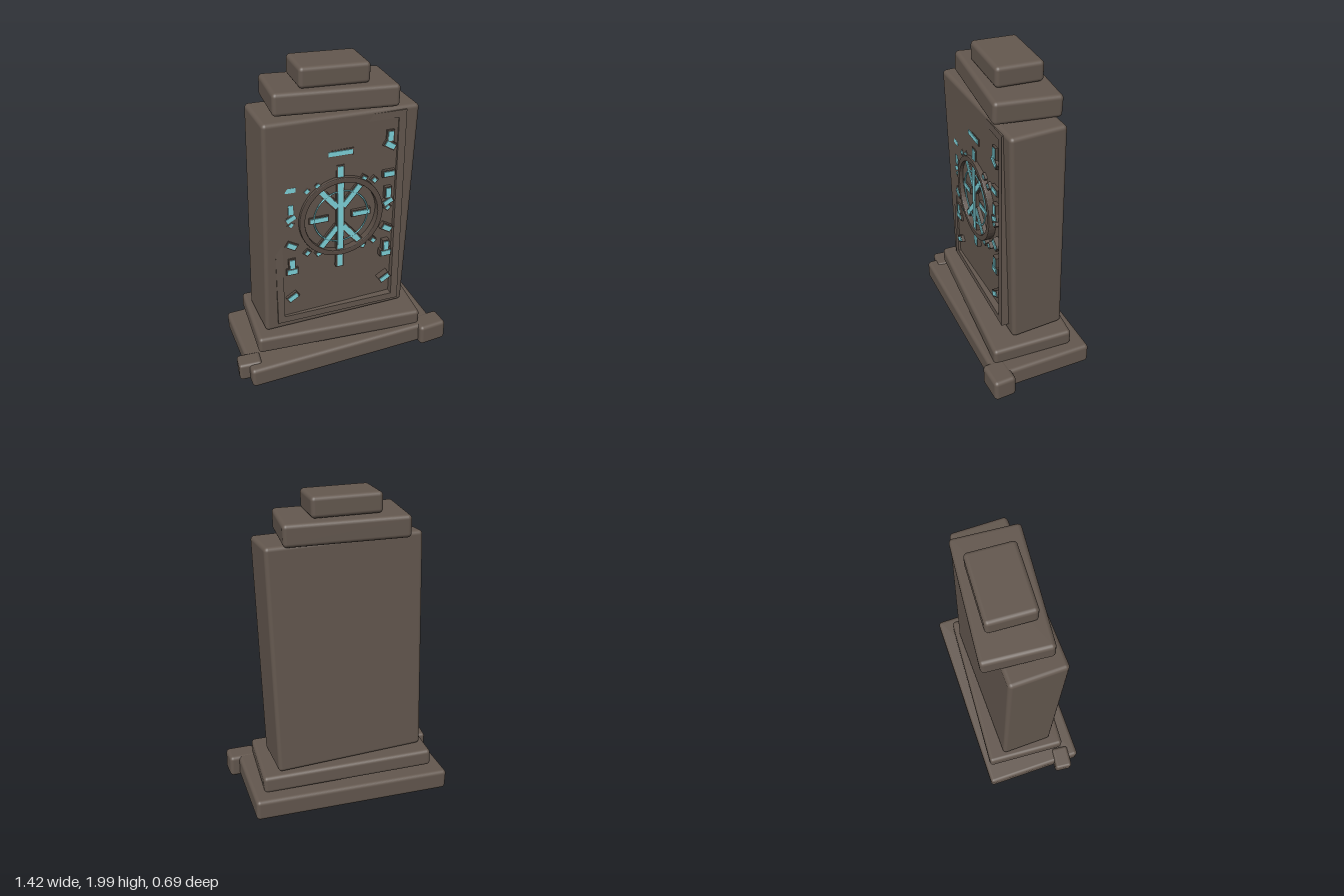
import * as THREE from 'three';
import { RoundedBoxGeometry } from 'three/addons/geometries/RoundedBoxGeometry.js';

const stone = new THREE.MeshStandardMaterial({ color: 0x64584f });
stone.name = 'stone';
const darkStone = new THREE.MeshStandardMaterial({ color: 0x584c44 });
darkStone.name = 'darkStone';
const glow = new THREE.MeshStandardMaterial({ color: 0x7fd4dc });
glow.name = 'paleCyan';

const GLYPH_FRONT = 0.18;   // front plane of the inlays
const CENTRE_Y = 1.065;     // centre of the wheel emblem

export function createModel() {
  const group = new THREE.Group();

  const add = (name, geometry, material, pos, rot = [0, 0, 0]) => {
    const mesh = new THREE.Mesh(geometry, material);
    mesh.name = name;
    mesh.position.set(...pos);
    mesh.rotation.set(...rot);
    group.add(mesh);
    return mesh;
  };

  // Worn stone block with softened edges
  const block = (name, size, pos, rot, radius = 0.025) =>
    add(name, new RoundedBoxGeometry(...size, 3, radius), stone, pos, rot);

  // Stacked, slightly shifted blocks
  block('basePlinth', [1.29, 0.135, 0.655], [-0.008, 0.09, -0.01], [0, 0.017, 0.027]);
  block('upperPlinth', [1.11, 0.112, 0.525], [-0.005, 0.228, -0.013], [0.02, -0.042, -0.026]);
  block('pillar', [0.972, 1.445, 0.345], [-0.008, 1.01, -0.015], [0.03, 0.04, -0.02]);
  block('lowerCap', [0.75, 0.135, 0.405], [-0.006, 1.802, -0.033], [-0.03, -0.07, -0.025]);
  block('upperCap', [0.425, 0.125, 0.29], [-0.008, 1.933, -0.035], [0, -0.03, -0.022]);

  // Loose corner stones on the base
  block('cornerStoneRight', [0.15, 0.12, 0.115], [-0.635, 0.09, 0.208], [0, -0.08, 0.02], 0.02);
  block('cornerStoneLeft', [0.19, 0.145, 0.145], [0.612, 0.104, 0.27], [0, 0.06, 0.03], 0.025);

  // Thin raised border on the front face
  const rect = (path, x0, x1, y0, y1) => {
    path.moveTo(x0, y0);
    path.lineTo(x1, y0);
    path.lineTo(x1, y1);
    path.lineTo(x0, y1);
    path.closePath();
    return path;
  };
  const border = rect(new THREE.Shape(), -0.42, 0.41, 0.345, 1.7);
  border.holes.push(rect(new THREE.Path(), -0.375, 0.362, 0.39, 1.655));
  add('frontBorder', new THREE.ExtrudeGeometry(border, { depth: 0.06, bevelEnabled: false }),
    stone, [0, 0, 0.11]);

  // Wheel rim
  const rim = new THREE.Shape().absarc(0, 0, 0.265, 0, Math.PI * 2, false);
  rim.holes.push(new THREE.Path().absarc(0, 0, 0.24, 0, Math.PI * 2, true));
  add('wheelRim', new THREE.ExtrudeGeometry(rim, {
    depth: 0.05, bevelThickness: 0.006, bevelSize: 0.005, bevelSegments: 2, curveSegments: 24,
  }), darkStone, [0, CENTRE_Y, 0.137]);

  // Fine inlaid circle
  add('inlaidCircle', new THREE.TorusGeometry(0.173, 0.005, 6, 48), glow,
    [0, CENTRE_Y, GLYPH_FRONT - 0.004]);

  // Inlay: pale plate seated on a slightly larger stone backing
  const inlay = (name, x, y, w, h, angle = 0, lift = 0) => {
    const z = GLYPH_FRONT + lift;
    add(name + 'Backing', new THREE.BoxGeometry(w + 0.016, h + 0.016, 0.05), darkStone,
      [x, y, z - 0.03], [0, 0, angle]);
    add(name, new THREE.BoxGeometry(w, h, 0.008), glow, [x, y, z - 0.004], [0, 0, angle]);
  };

  // Wheel spokes
  inlay('centreSpoke', -0.005, 1.064, 0.036, 0.46, 0, 0.003);
  inlay('topSpoke', -0.005, 1.363, 0.034, 0.08);
  inlay('bottomSpoke', -0.005, 0.75, 0.034, 0.09);
  for (const side of [-1, 1]) {
    inlay('sideSpoke', side * 0.137 - 0.005, CENTRE_Y, 0.11, 0.028);
    inlay('upperDiagonalSpoke', side * 0.072 - 0.005, 1.195, 0.032, 0.165, -side * 0.7);
    inlay('lowerDiagonalSpoke', side * 0.072 - 0.005, 0.932, 0.032, 0.165, side * 0.7);
  }
  inlay('topBar', -0.006, 1.49, 0.15, 0.028);

  // Columns of marks along both edges: y, width, height, angle
  const marks = [
    [1.548, 0.032, 0.06, 0], [1.49, 0.065, 0.03, -0.55], [1.3, 0.066, 0.03, 0],
    [1.17, 0.03, 0.062, 0], [1.107, 0.06, 0.028, 0.5], [1.066, 0.025, 0.02, 0.8],
    [0.917, 0.06, 0.03, -0.55], [0.785, 0.03, 0.06, 0], [0.73, 0.062, 0.032, 0],
    [0.534, 0.064, 0.03, 0.55],
  ];
  for (const x of [-0.318, 0.31]) {
    for (const [y, w, h, angle] of marks) inlay('edgeMark', x, y, w, h, angle);
  }

  // Small studs around the rim
  for (const side of [-1, 1]) {
    for (const [x, y, angle] of [[0.215, 1.275, 0.8], [0.147, 1.298, 0.65],
      [0.218, 0.846, 0.8], [0.145, 0.825, 0.5]]) {
      inlay('rimStud', side * x, y, 0.026, 0.022, -side * angle);
    }
  }

  return group;
}
